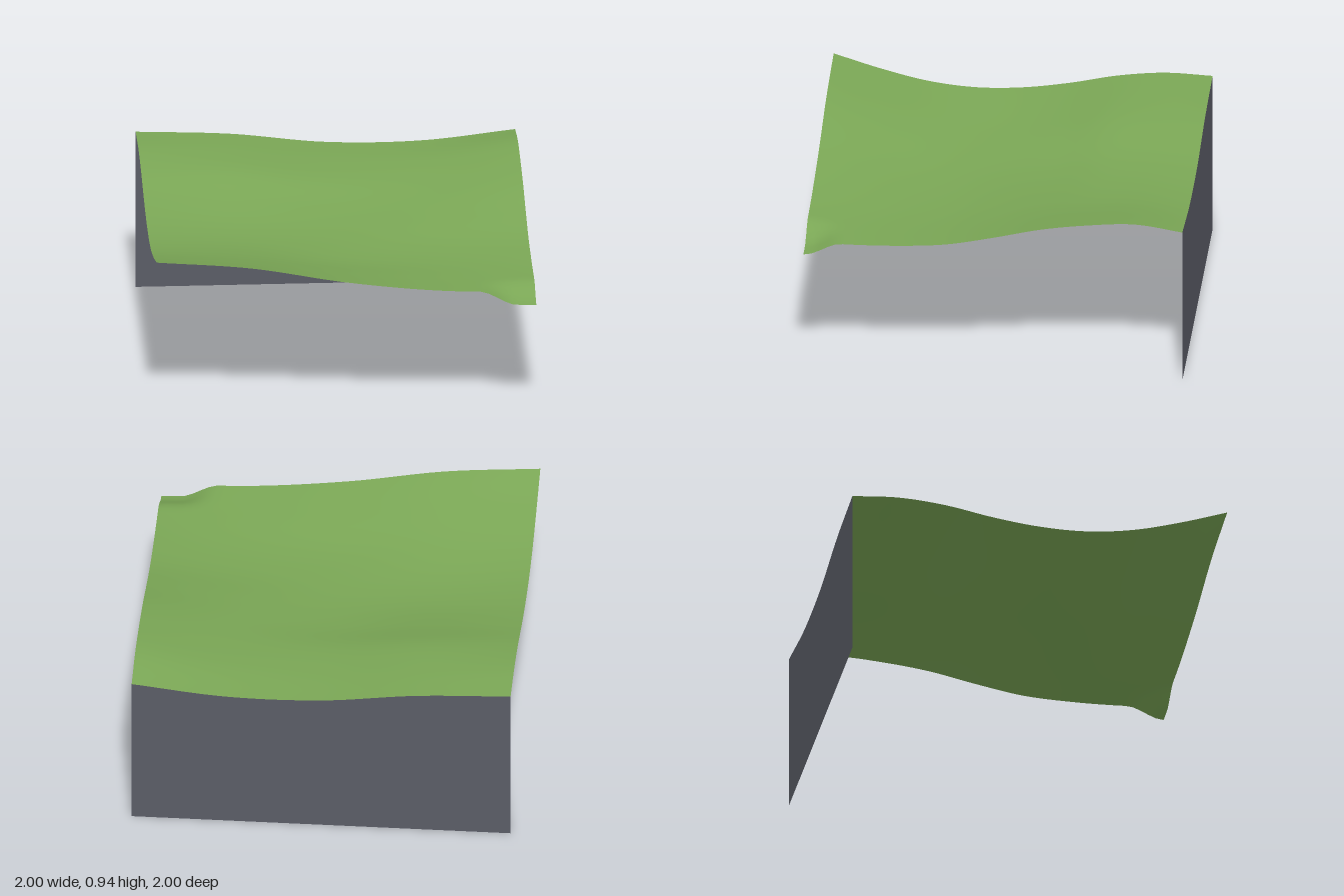
import * as THREE from 'three';

// Control heights: rows run back (z = -1) to front (z = 1), columns x = -1 to 1
const HEIGHTS = [
  [0.88, 0.857, 0.80, 0.797, 0.85],
  [0.89, 0.86, 0.803, 0.81, 0.887],
  [0.865, 0.845, 0.79, 0.797, 0.873],
  [0.815, 0.785, 0.747, 0.77, 0.84],
  [0.78, 0.742, 0.72, 0.74, 0.785],
  [0.772, 0.737, 0.712, 0.711, 0.738],
  [0.80, 0.768, 0.72, 0.707, 0.722],
  [0.862, 0.825, 0.76, 0.725, 0.72],
  [0.94, 0.895, 0.805, 0.747, 0.73],
];

// Catmull-Rom curve through evenly spaced values over t = -1..1
function spline(values, t) {
  const n = values.length - 1;
  const u = (t + 1) / 2 * n;
  const i = Math.min(Math.max(Math.floor(u), 0), n - 1);
  const f = u - i;
  const b = values[i], c = values[i + 1];
  const a = i > 0 ? values[i - 1] : 2 * b - c;
  const d = i < n - 1 ? values[i + 2] : 2 * c - b;
  return b + 0.5 * f * (c - a + f * (2 * a - 5 * b + 4 * c - d + f * (3 * (b - c) + d - a)));
}

// Rolling ground with a small hollow at the front corner
function groundHeight(x, z) {
  const hollow = 0.075 * THREE.MathUtils.smoothstep(x, 0.7, 0.9) * THREE.MathUtils.smoothstep(z, 0.8, 1);
  return spline(HEIGHTS.map((row) => spline(row, x)), z) - hollow;
}

export function createModel() {
  const model = new THREE.Group();
  model.name = 'terrainPatch';

  const grass = new THREE.MeshStandardMaterial({ color: 0x7aa655, side: THREE.DoubleSide });
  grass.name = 'grass green';
  const stone = new THREE.MeshStandardMaterial({ color: 0x5a5c66, side: THREE.DoubleSide });
  stone.name = 'slate grey';

  // Ground sheet
  const groundGeometry = new THREE.PlaneGeometry(2, 2, 48, 48).rotateX(-Math.PI / 2);
  const ground = groundGeometry.attributes.position;
  for (let i = 0; i < ground.count; i++) {
    ground.setY(i, groundHeight(ground.getX(i), ground.getZ(i)));
  }
  groundGeometry.computeVertexNormals();
  const groundMesh = new THREE.Mesh(groundGeometry, grass);
  groundMesh.name = 'ground';
  model.add(groundMesh);

  // Back wall, its top edge following the ground
  const wallGeometry = new THREE.PlaneGeometry(2, 1, 48, 1).rotateY(Math.PI);
  const wall = wallGeometry.attributes.position;
  for (let i = 0; i < wall.count; i++) {
    const x = wall.getX(i);
    wall.setXYZ(i, x, wall.getY(i) > 0 ? groundHeight(x, -1) : 0, -1);
  }
  wallGeometry.computeVertexNormals();
  const wallMesh = new THREE.Mesh(wallGeometry, stone);
  wallMesh.name = 'backWall';
  model.add(wallMesh);

  return model;
}
